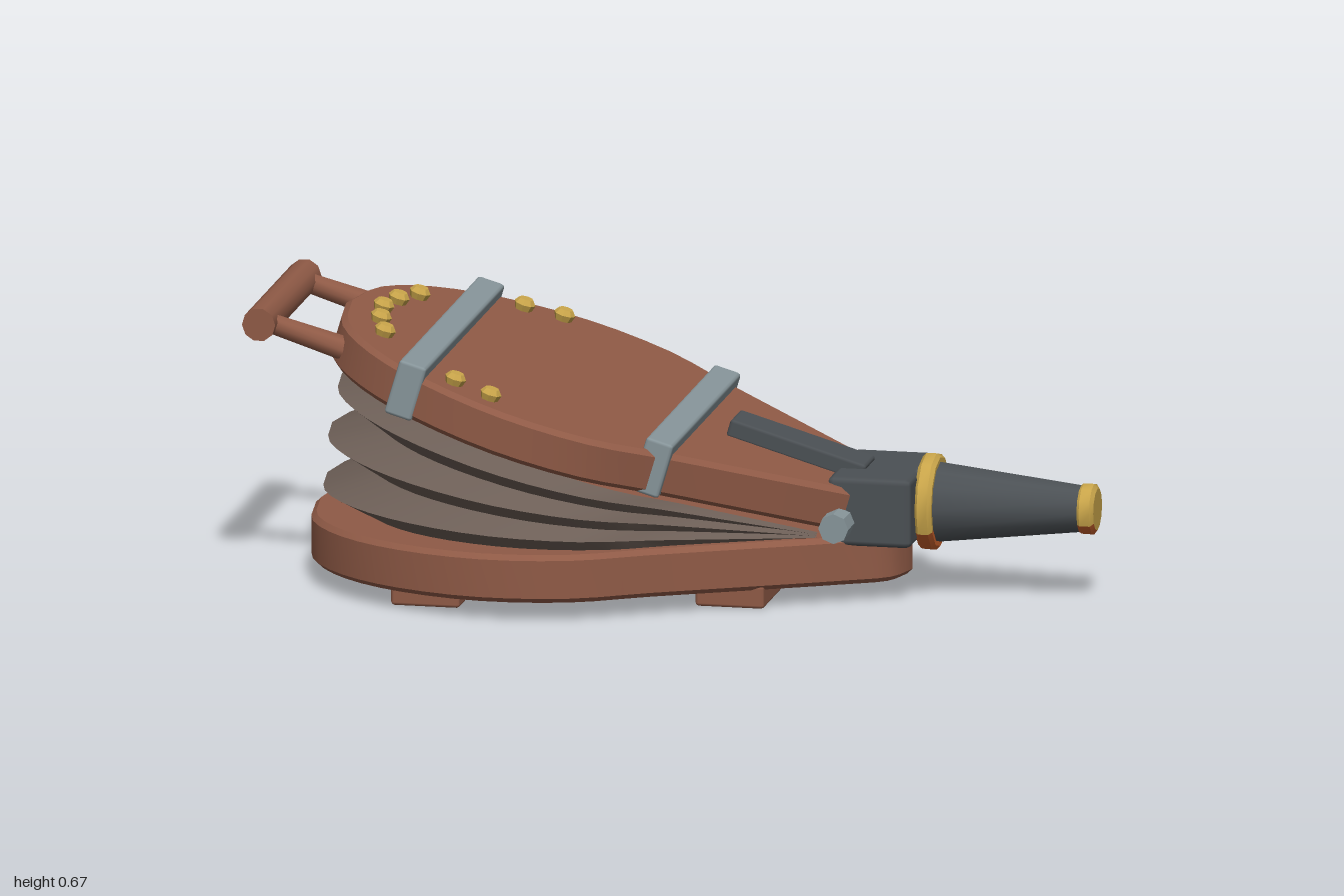
import * as THREE from 'three';
import { toCreasedNormals } from 'three/addons/utils/BufferGeometryUtils.js';
import { RoundedBoxGeometry } from 'three/addons/geometries/RoundedBoxGeometry.js';

const mat = (name, color, side = THREE.FrontSide) => {
  const m = new THREE.MeshStandardMaterial({ color, side });
  m.name = name;
  return m;
};

export function createModel() {
  const wood = mat('wood', 0x8f5a46);
  const leather = mat('leather', 0x6c5e56, THREE.DoubleSide);
  const iron = mat('dark iron', 0x4b5054);
  const steel = mat('steel', 0x87959a);
  const brass = mat('brass', 0xc9a54a);
  const copper = mat('copper', 0xc8602c);

  const model = new THREE.Group();
  model.name = 'bellows';
  const add = (parent, name, geo, material, x = 0, y = 0, z = 0) => {
    const mesh = new THREE.Mesh(geo, material);
    mesh.name = name;
    mesh.position.set(x, y, z);
    parent.add(mesh);
    return mesh;
  };
  const box = (w, h, d, r = 0.008) => new RoundedBoxGeometry(w, h, d, 1, r);

  // Teardrop outline: half from tail to nose, then mirrored
  const half = new THREE.CatmullRomCurve3([
    [-0.878, 0], [-0.845, 0.19], [-0.745, 0.335], [-0.59, 0.44], [-0.38, 0.496],
    [-0.17, 0.468], [0, 0.372], [0.2, 0.268], [0.42, 0.152], [0.52, 0.09], [0.552, 0],
  ].map(([x, z]) => new THREE.Vector3(x, z, 0))).getPoints(30);
  const outline = half.concat(half.slice(1, -1).reverse().map(p => new THREE.Vector3(p.x, -p.y, 0)));

  const board = (height, shift) => {
    const b = 0.012;
    const shape = new THREE.Shape(outline.map(p => new THREE.Vector2(p.x + shift, p.y)));
    const g = new THREE.ExtrudeGeometry(shape, {
      depth: height - 2 * b, bevelThickness: b, bevelSize: b, bevelOffset: -b, bevelSegments: 1,
    });
    g.rotateX(-Math.PI / 2).translate(0, b, 0);
    return toCreasedNormals(g, 0.55);
  };

  // Lower board and its two feet
  add(model, 'lowerBoard', board(0.115, 0), wood, 0, 0.045, 0);
  add(model, 'rearFoot', box(0.165, 0.055, 0.77), wood, -0.535, 0.0275, 0);
  add(model, 'frontFoot', box(0.165, 0.055, 0.49), wood, 0.165, 0.0275, 0);

  // Pleated leather fanning out from the hinge
  const rim = outline.filter(p => p.x < 0.38);
  const firstLower = rim.findIndex(p => p.y < 0);
  const path = rim.slice(firstLower).concat(rim.slice(0, firstLower));
  const layers = 7, pos = [], index = [];
  for (let i = 0; i < layers; i++) {
    const a = 0.292 * i / (layers - 1);
    const [sx, sz] = i % 2 ? [0.98, 0.94] : [0.89, 0.84];
    for (const p of path) {
      const d = (0.4 - p.x) * sx;
      pos.push(0.4 - d * Math.cos(a), 0.16 + d * Math.sin(a), p.y * sz);
    }
  }
  const n = path.length;
  for (let i = 0; i < layers - 1; i++) {
    for (let j = 0; j < n - 1; j++) {
      const a = i * n + j, b = a + 1, c = a + n, d = c + 1;
      index.push(a, b, d, a, d, c);
    }
  }
  const pleats = new THREE.BufferGeometry();
  pleats.setAttribute('position', new THREE.Float32BufferAttribute(pos, 3));
  pleats.setIndex(index);
  add(model, 'leatherPleats', toCreasedNormals(pleats, 0.5), leather);

  // Upper board assembly, tilted about the hinge
  const hx = 0.41, tilt = 0.288;
  const upper = new THREE.Group();
  upper.name = 'upperAssembly';
  upper.position.set(hx, 0.2, 0);
  upper.rotation.z = -tilt;
  model.add(upper);
  add(upper, 'upperBoard', board(0.105, -hx), wood, 0, -0.025, 0);
  add(upper, 'hingePlate', box(0.34, 0.045, 0.11), iron, -0.16, 0.098, 0);

  // Steel straps with legs folded over the board edges
  for (const [x, z] of [[-1.034, 0.444], [-0.43, 0.384]]) {
    const strap = new THREE.Group();
    strap.name = 'strap';
    strap.position.x = x;
    upper.add(strap);
    add(strap, 'strapBar', box(0.068, 0.036, 2 * z), steel, 0, 0.09, 0);
    for (const s of [-1, 1]) add(strap, 'strapLeg', box(0.068, 0.135, 0.036), steel, 0, 0.04, s * (z - 0.018));
  }

  // Brass nails
  const nail = toCreasedNormals(new THREE.LatheGeometry(
    [[0.019, -0.004], [0.026, 0.016], [0.017, 0.028], [0, 0.028]].map(p => new THREE.Vector2(...p)), 8), 0.3);
  for (const [x, z] of [[-0.715, 0], [-0.7, 0.1], [-0.67, 0.195], [-0.46, 0.39], [-0.37, 0.415]]) {
    for (const s of z ? [-1, 1] : [1]) {
      add(upper, 'nail', nail, brass, (x - 0.437) / Math.cos(tilt), 0.08, s * z);
    }
  }

  // Tail handle
  const bar = new THREE.CylinderGeometry(0.04, 0.04, 0.52, 10).rotateX(Math.PI / 2);
  add(upper, 'handleBar', toCreasedNormals(bar, 0.7), wood, -1.436, 0.023, 0);
  const arm = toCreasedNormals(new THREE.CylinderGeometry(0.024, 0.031, 0.24, 8).rotateZ(Math.PI / 2), 0.8);
  for (const s of [-1, 1]) add(upper, 'handleArm', arm, wood, -1.31, 0.023, s * 0.212);

  // Hinge block and pin
  add(model, 'hingeBlock', box(0.2, 0.165, 0.308, 0.014), iron, 0.48, 0.222, 0);
  const pin = new THREE.CylinderGeometry(0.036, 0.036, 0.45, 8).rotateX(Math.PI / 2);
  add(model, 'hingePin', toCreasedNormals(pin, 0.3), steel, hx, 0.197, 0);

  // Nozzle with two brass rings, copper on their undersides
  const axisY = 0.222;
  const turned = (profile, start = 0, length = Math.PI * 2, segments = 12) => toCreasedNormals(
    new THREE.LatheGeometry(profile.map(([r, x]) => new THREE.Vector2(r, x)), segments, start, length)
      .rotateZ(-Math.PI / 2), 0.55);
  add(model, 'nozzle', turned([[0.096, 0.57], [0.096, 0.62], [0.055, 0.97]]), iron, 0, axisY, 0);
  const ring = (name, profile) => {
    add(model, name, turned(profile, Math.PI * 5 / 6, Math.PI * 4 / 3, 8), brass, 0, axisY, 0);
    add(model, name + 'Underside', turned(profile, Math.PI / 6, Math.PI * 2 / 3, 4), copper, 0, axisY, 0);
  };
  ring('nozzleFlange', [[0.07, 0.577], [0.107, 0.577], [0.116, 0.586], [0.116, 0.61], [0.107, 0.619], [0.08, 0.619]]);
  ring('nozzleTip', [[0.04, 0.955], [0.055, 0.955], [0.061, 0.963], [0.061, 0.988], [0.05, 0.996]]);
  add(model, 'nozzleTipFace', turned([[0.05, 0.996], [0, 0.996]]), brass, 0, axisY, 0);

  return model;
}
